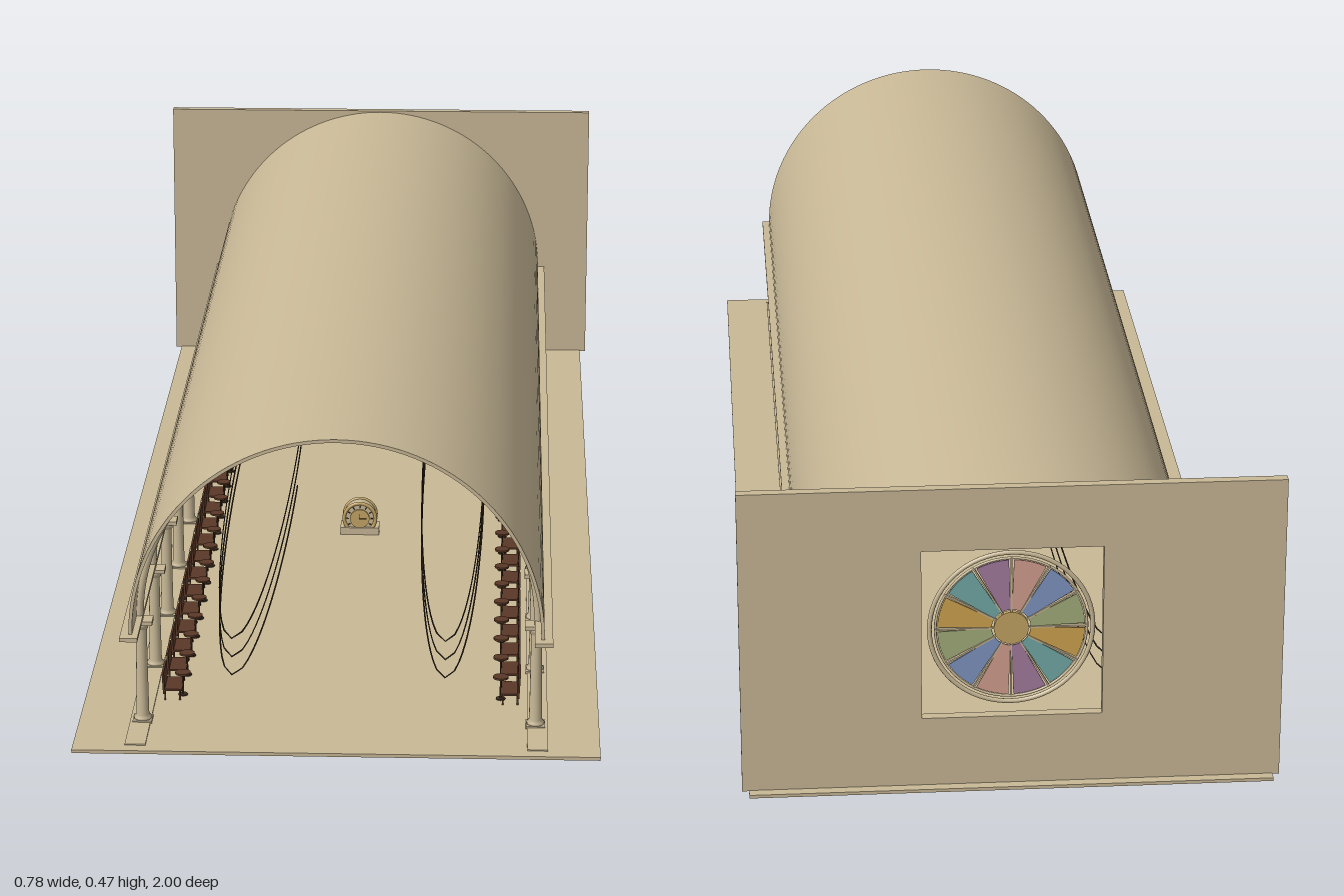
import * as THREE from 'three';

const mat = (color) => new THREE.MeshStandardMaterial({ color, side: THREE.DoubleSide });
const stone = mat(0xc8b896), iron = mat(0x3c2e20), wood = mat(0x5a3826), brass = mat(0xc4a464);
const glassColors = [0xa57ca0, 0x74aaa6, 0xd0a450, 0xa4ae7c, 0x8096c2, 0xd4a090];

function add(parent, name, geometry, material, x = 0, y = 0, z = 0) {
  const mesh = new THREE.Mesh(geometry, material);
  mesh.name = name;
  mesh.position.set(x, y, z);
  parent.add(mesh);
  return mesh;
}

const box = (w, h, d) => new THREE.BoxGeometry(w, h, d);

// Part of a flat ring between two radii and two angles, extruded along z
function sector(inner, outer, from, to, depth, segments) {
  const s = new THREE.Shape();
  s.absarc(0, 0, outer, from, to, false);
  s.absarc(0, 0, inner, to, from, true);
  return new THREE.ExtrudeGeometry(s, { depth, bevelEnabled: false, curveSegments: segments });
}

// Half-round shell with smooth inner and outer faces
function addVault(parent, outer, inner, z0, z1, y) {
  const vault = new THREE.Group();
  vault.name = 'barrelVault';
  for (const r of [outer, inner]) {
    const g = new THREE.CylinderGeometry(r, r, z1 - z0, 64, 1, true, -Math.PI / 2, Math.PI);
    g.rotateX(-Math.PI / 2);
    // keep the upper half whichever way the arc was turned
    g.computeBoundingBox();
    if (g.boundingBox.min.y < -0.1) g.rotateZ(Math.PI);
    add(vault, r === outer ? 'vaultOuterFace' : 'vaultInnerFace', g, stone, 0, y, (z0 + z1) / 2);
  }
  for (const z of [z0, z1]) {
    add(vault, 'vaultEdge', new THREE.RingGeometry(inner, outer, 64, 1, 0, Math.PI), stone, 0, y, z);
  }
  parent.add(vault);
}

// Rose window with twelve coloured panes
function makeRoseWindow() {
  const g = new THREE.Group();
  g.name = 'roseWindow';
  add(g, 'outerRing', new THREE.TorusGeometry(0.1175, 0.0035, 8, 64), stone);
  add(g, 'innerRing', new THREE.TorusGeometry(0.109, 0.002, 8, 64), stone);
  for (let i = 0; i < 12; i++) {
    const a = Math.PI / 2 - i * Math.PI / 6;
    const spoke = add(g, 'spoke', box(0.09, 0.0025, 0.005), stone, 0.065 * Math.cos(a), 0.065 * Math.sin(a), 0);
    spoke.rotation.z = a;
    const pane = sector(0.028, 0.106, a - Math.PI / 6 + 0.035, a - 0.035, 0.002, 8);
    add(g, 'glassPane', pane, mat(glassColors[i % 6]), 0, 0, -0.001);
  }
  const hub = new THREE.CylinderGeometry(0.025, 0.025, 0.007, 32).rotateX(Math.PI / 2);
  add(g, 'hub', hub, brass);
  return g;
}

// Column turned in one profile, with square base and capital slabs
const columnProfile = [
  [0, 0.008], [0.013, 0.008], [0.013, 0.012], [0.0095, 0.016], [0.0085, 0.08],
  [0.008, 0.148], [0.010, 0.150], [0.010, 0.153], [0.014, 0.16], [0, 0.16],
].map(([r, y]) => new THREE.Vector2(r, y));
const columnGeometry = new THREE.LatheGeometry(columnProfile, 16);

function makeColumn() {
  const g = new THREE.Group();
  g.name = 'column';
  add(g, 'shaft', columnGeometry, stone);
  add(g, 'base', box(0.028, 0.005, 0.028), stone, 0, 0.0065, 0);
  add(g, 'capital', box(0.034, 0.006, 0.028), stone, 0, 0.161, 0);
  return g;
}

// Chair and small table facing the aisle, built for the +x side
function makeSeating() {
  const g = new THREE.Group();
  g.name = 'seating';
  add(g, 'chairSeat', box(0.027, 0.003, 0.05), wood, 0.249, 0.022, 0);
  const back = add(g, 'chairBack', box(0.003, 0.034, 0.053), wood, 0.263, 0.033, 0);
  back.rotation.z = -0.05;
  for (const x of [0.239, 0.261]) for (const z of [-0.021, 0.021]) {
    add(g, 'chairLeg', box(0.0025, 0.018, 0.0025), wood, x, 0.0135, z);
  }
  add(g, 'tableTop', new THREE.CylinderGeometry(0.0115, 0.0115, 0.003, 16), wood, 0.236, 0.04, 0);
  add(g, 'tablePost', new THREE.CylinderGeometry(0.0015, 0.0015, 0.034, 8), iron, 0.236, 0.022, 0);
  add(g, 'tableFoot', new THREE.CylinderGeometry(0.007, 0.007, 0.002, 12), iron, 0.236, 0.006, 0);
  return g;
}

// Round clock on a low plinth
function makeClock() {
  const g = new THREE.Group();
  g.name = 'clock';
  add(g, 'plinth', box(0.064, 0.012, 0.035), stone, 0, 0.011, 0);
  add(g, 'body', new THREE.CylinderGeometry(0.026, 0.026, 0.025, 32).rotateX(Math.PI / 2), stone, 0, 0.032, 0);
  for (const s of [-1, 1]) {
    add(g, 'rim', new THREE.TorusGeometry(0.026, 0.003, 8, 32), brass, 0, 0.032, s * 0.0125);
    add(g, 'face', new THREE.CylinderGeometry(0.016, 0.016, 0.004, 32).rotateX(Math.PI / 2), brass, 0, 0.032, s * 0.0135);
    for (let i = 0; i < 12; i++) {
      const a = i * Math.PI / 6;
      const mark = add(g, 'hourMark', box(0.004, 0.0015, 0.002), iron, 0.02 * Math.cos(a), 0.032 + 0.02 * Math.sin(a), s * 0.0135);
      mark.rotation.z = a;
    }
    add(g, 'hourHand', box(0.0012, 0.01, 0.001), iron, 0, 0.036, s * 0.016);
    add(g, 'minuteHand', box(0.012, 0.0012, 0.001), iron, s * 0.005, 0.032, s * 0.016);
  }
  return g;
}

// Long hanging spiral strand, stretched along the hall
class Spiral extends THREE.Curve {
  getPoint(t, target = new THREE.Vector3()) {
    const a = t * Math.PI * 6;
    return target.set(0.05 * Math.cos(a), 0.075 + 0.085 * t, 0.035 + 0.86 * Math.sin(a));
  }
}

export function createModel() {
  const model = new THREE.Group();
  model.name = 'arcadeHall';

  add(model, 'floor', box(0.76, 0.005, 2), stone, 0, 0.0025, 0);

  // End wall with a square opening
  const wall = new THREE.Shape([[-0.39, 0.004], [0.39, 0.004], [0.39, 0.47], [-0.39, 0.47]]
    .map(([x, y]) => new THREE.Vector2(x, y)));
  wall.holes.push(new THREE.Path([[-0.13, 0.112], [-0.13, 0.375], [0.13, 0.375], [0.13, 0.112]]
    .map(([x, y]) => new THREE.Vector2(x, y))));
  add(model, 'endWall', new THREE.ExtrudeGeometry(wall, { depth: 0.015, bevelEnabled: false }), stone, 0, 0, -0.985);

  const rose = makeRoseWindow();
  rose.position.set(0, 0.242, -0.962);
  model.add(rose);

  addVault(model, 0.298, 0.293, -0.968, 0.965, 0.17);

  // Columns on both sides, each pair joined by an arch rib
  for (let i = 0; i < 9; i++) {
    const z = 0.885 - i * 0.2145;
    for (const s of [-1, 1]) {
      const column = makeColumn();
      column.position.set(s * 0.287, 0, z);
      model.add(column);
    }
    add(model, 'archRib', new THREE.TorusGeometry(0.289, 0.006, 8, 48, Math.PI), stone, 0, 0.17, z);
  }

  // Cornices, plinth strips and hanging strands
  const spiral = new THREE.TubeGeometry(new Spiral(), 300, 0.0012, 4);
  for (const s of [-1, 1]) {
    add(model, 'cornice', box(0.026, 0.006, 1.95), stone, s * 0.297, 0.167, 0.005);
    add(model, 'plinthStrip', box(0.03, 0.003, 1.95), stone, s * 0.29, 0.0055, 0.005);
    add(model, 'spiralStrand', spiral, iron, s * 0.155, 0, 0);
  }

  // Rows of seats facing the aisle
  for (let i = 0; i < 20; i++) {
    for (const s of [-1, 1]) {
      const seating = makeSeating();
      seating.rotation.y = s < 0 ? Math.PI : 0;
      seating.position.z = 0.785 - i * 0.0785;
      model.add(seating);
    }
  }

  const clock = makeClock();
  clock.position.z = 0.06;
  model.add(clock);
  return model;
}
